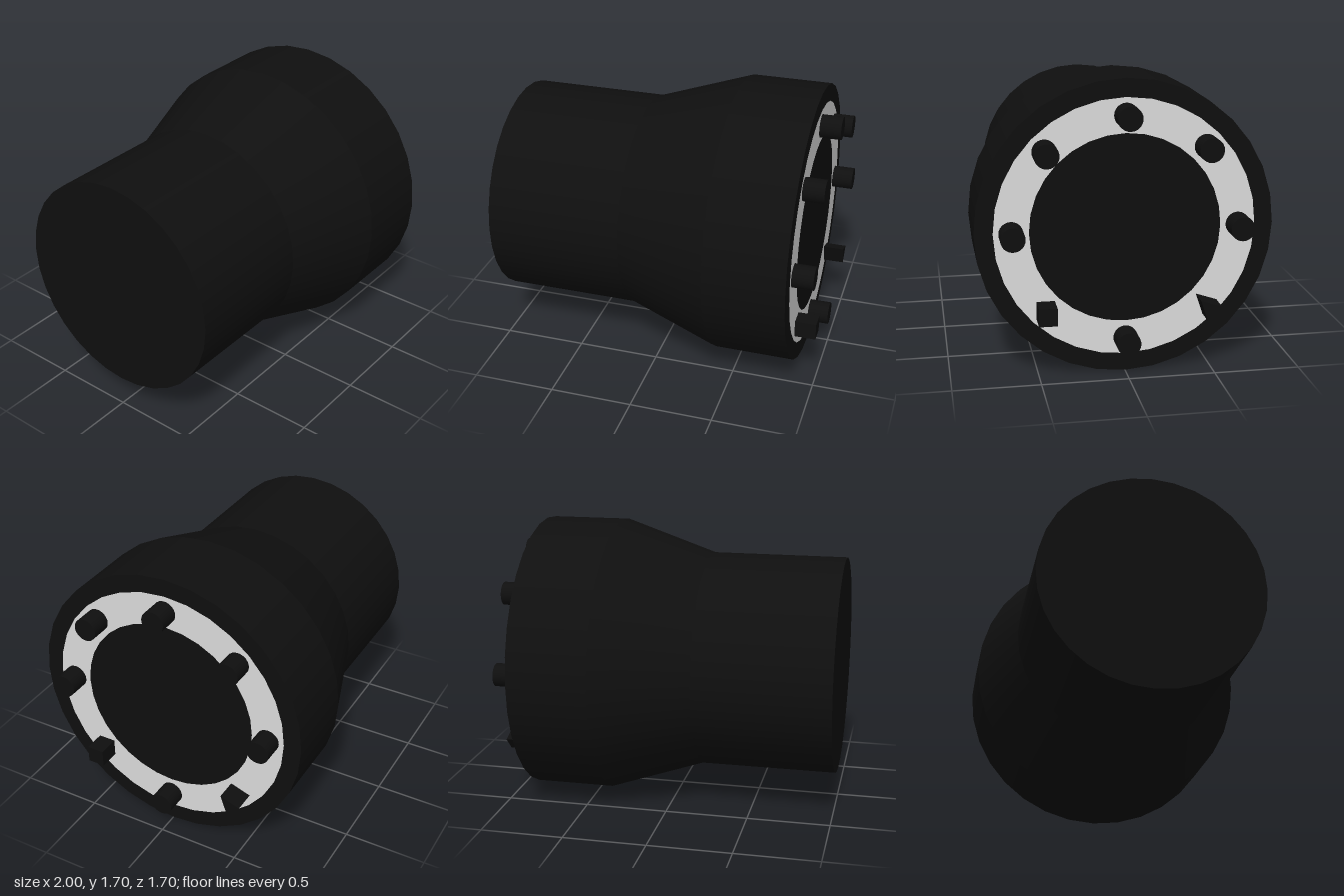
import * as THREE from 'three';

const CENTER_Y = 0.85, FACE_X = 0.87, PIN_CIRCLE = 0.645, SIDES = 32;

export function createModel() {
  const group = new THREE.Group();
  const black = new THREE.MeshStandardMaterial({ color: 0x0f0f0f });
  black.name = 'black housing';
  const silver = new THREE.MeshStandardMaterial({ color: 0xdcdcdc });
  silver.name = 'light grey ring';

  function add(name, geometry, material, x = 0, y = CENTER_Y, z = 0) {
    const mesh = new THREE.Mesh(geometry, material);
    mesh.name = name;
    mesh.position.set(x, y, z);
    group.add(mesh);
  }

  // Round section along x between two stations
  function section(name, x0, r0, x1, r1) {
    const g = new THREE.CylinderGeometry(r1, r0, x1 - x0, SIDES, 1, true);
    add(name, g.rotateZ(-Math.PI / 2), black, (x0 + x1) / 2);
  }

  // Housing: narrow sleeve, flare and wide collar
  section('sleeve', -1, 0.66, -0.18, 0.66);
  section('flare', -0.18, 0.66, 0.385, 0.85);
  section('collar', 0.385, 0.85, FACE_X, 0.85);

  // Flat end faces
  add('backCap', new THREE.CircleGeometry(0.66, SIDES).rotateY(-Math.PI / 2), black, -1);
  add('contactFace', new THREE.CircleGeometry(0.85, SIDES).rotateY(Math.PI / 2), black, FACE_X);
  add('contactRing', new THREE.RingGeometry(0.545, 0.745, SIDES).rotateY(Math.PI / 2), silver, FACE_X + 0.003);

  // Six round pins; the two lower diagonal places hold the keyed pins
  const pinLength = 1 - FACE_X, pinX = FACE_X + pinLength / 2;
  for (const degrees of [0, 45, 90, 135, 180, 270]) {
    const a = THREE.MathUtils.degToRad(degrees);
    const g = new THREE.CylinderGeometry(0.069, 0.069, pinLength, 24).rotateZ(-Math.PI / 2);
    add('roundPin', g, black, pinX, CENTER_Y + PIN_CIRCLE * Math.sin(a), PIN_CIRCLE * Math.cos(a));
  }

  // Square key pin
  add('squarePin', new THREE.BoxGeometry(pinLength, 0.104, 0.104), black, pinX, 0.394, 0.457);

  // Triangular key pin, drawn in the (-z, y) plane and extruded along x
  const triangle = new THREE.Shape([
    new THREE.Vector2(0.411, 0.442),
    new THREE.Vector2(0.452, 0.319),
    new THREE.Vector2(0.533, 0.401),
  ]);
  const prism = new THREE.ExtrudeGeometry(triangle, { depth: pinLength, bevelEnabled: false });
  add('triangularPin', prism.rotateY(Math.PI / 2), black, FACE_X, 0, 0);

  return group;
}
